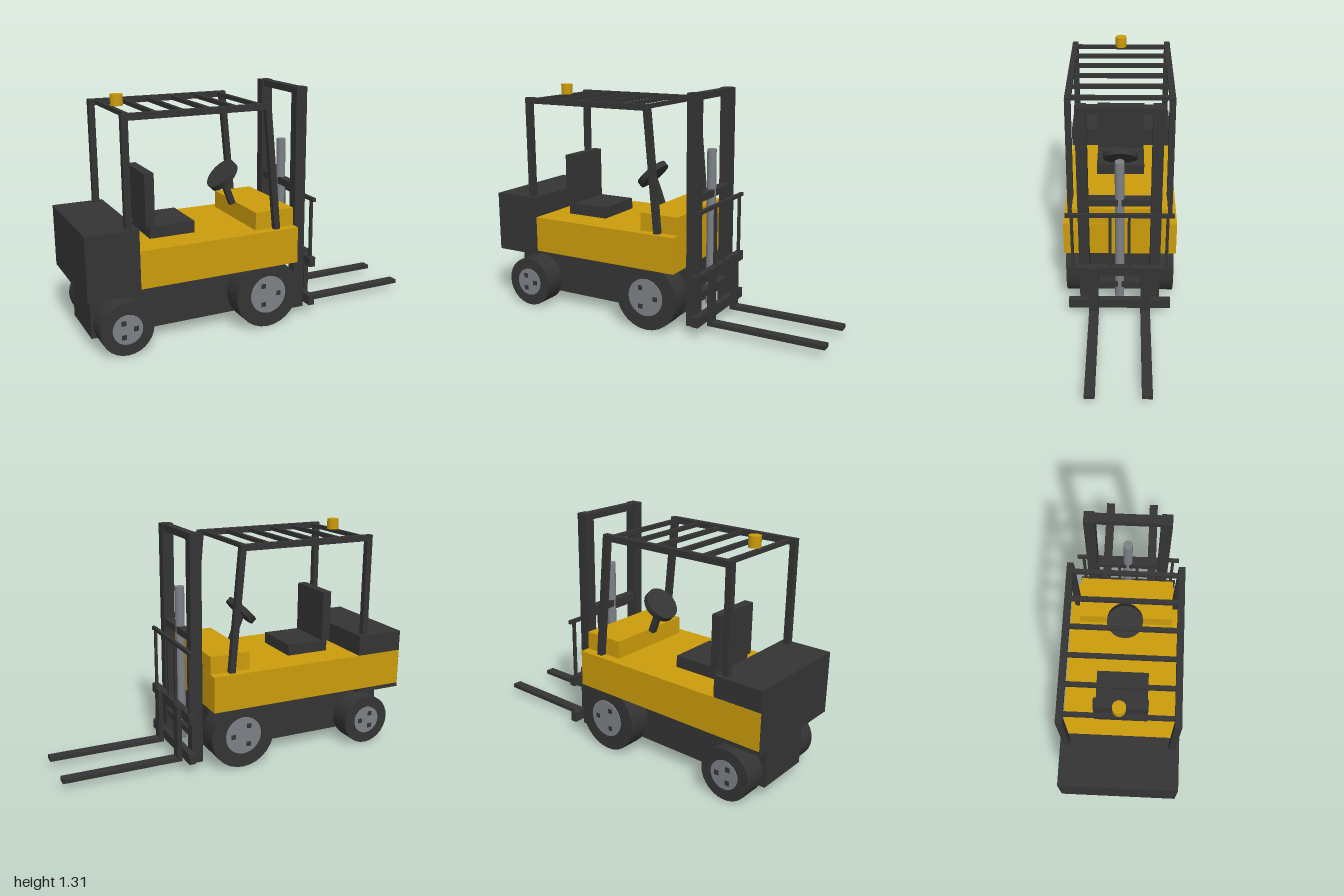
import * as THREE from 'three';

const mat = (name, color) => {
  const m = new THREE.MeshStandardMaterial({ color });
  m.name = name;
  return m;
};

export function createModel() {
  const yellow = mat('yellow paint', 0xcc9c0c);
  const dark = mat('dark grey', 0x343434);
  const steel = mat('steel', 0x7c8085);

  const root = new THREE.Group();
  root.name = 'forklift';
  const group = (name) => {
    const g = new THREE.Group();
    g.name = name;
    root.add(g);
    return g;
  };
  const add = (parent, name, geometry, material) => {
    const m = new THREE.Mesh(geometry, material);
    m.name = name;
    parent.add(m);
    return m;
  };
  // Box given by its limits along each axis
  const box = (parent, name, material, x0, x1, y0, y1, z0, z1) => {
    const m = add(parent, name, new THREE.BoxGeometry(x1 - x0, y1 - y0, z1 - z0), material);
    m.position.set((x0 + x1) / 2, (y0 + y1) / 2, (z0 + z1) / 2);
    return m;
  };
  // Square bar between two points in the xy plane
  const bar = (parent, name, x0, y0, x1, y1, z, w) => {
    const m = add(parent, name, new THREE.BoxGeometry(w, Math.hypot(x1 - x0, y1 - y0), w), dark);
    m.position.set((x0 + x1) / 2, (y0 + y1) / 2, z);
    m.rotation.z = Math.atan2(y1 - y0, x1 - x0) - Math.PI / 2;
    return m;
  };

  // Chassis, body and counterweight
  const body = group('body');
  box(body, 'chassis', dark, -0.95, 0.16, 0.065, 0.352, -0.17, 0.17);
  box(body, 'bodyShell', yellow, -0.998, 0.195, 0.352, 0.555, -0.32, 0.318);
  box(body, 'cowl', yellow, -0.04, 0.193, 0.55, 0.655, -0.265, 0.265);
  box(body, 'counterweight', dark, -1, -0.72, 0.328, 0.672, -0.318, 0.32);

  // Wheels with rims and three lugs each
  const wheel = (name, x, r, rimR, lugR, side) => {
    const g = group(name);
    g.position.set(x, r, 0);
    const disc = (part, radius, z0, z1, material) => {
      const m = add(g, part, new THREE.CylinderGeometry(radius, radius, z1 - z0, 28), material);
      m.rotation.x = Math.PI / 2;
      m.position.z = side * (z0 + z1) / 2;
    };
    disc('tyre', r, 0.18, 0.31, dark);
    disc('rim', rimR, 0.3, 0.315, steel);
    for (let i = 0; i < 3; i++) {
      const a = i * Math.PI * 2 / 3;
      const lug = add(g, 'lug', new THREE.BoxGeometry(0.026, 0.026, 0.01), dark);
      lug.position.set(lugR * Math.cos(a), lugR * Math.sin(a), side * 0.313);
    }
  };
  for (const side of [-1, 1]) {
    const label = side > 0 ? 'Near' : 'Far';
    wheel('driveWheel' + label, 0.016, 0.19, 0.107, 0.062, side);
    wheel('steerWheel' + label, -0.797, 0.144, 0.081, 0.044, side);
  }

  // Seat
  const seat = group('seat');
  box(seat, 'seatCushion', dark, -0.605, -0.35, 0.555, 0.62, -0.145, 0.145);
  box(seat, 'seatBack', dark, -0.625, -0.573, 0.62, 0.907, -0.145, 0.145);

  // Steering column and wheel
  const steering = group('steering');
  bar(steering, 'steeringColumn', -0.055, 0.645, -0.118, 0.81, 0, 0.033);
  const handwheel = add(steering, 'steeringWheel', new THREE.CylinderGeometry(0.098, 0.098, 0.034, 28), dark);
  handwheel.position.set(-0.115, 0.816, 0);
  handwheel.rotation.z = Math.PI / 4;

  // Overhead guard
  const guard = group('overheadGuard');
  for (const side of [-1, 1]) {
    const z = side * 0.281;
    box(guard, 'rearPost', dark, -0.784, -0.75, 0.66, 1.248, z - 0.017, z + 0.017);
    box(guard, 'roofRail', dark, -0.784, 0.032, 1.215, 1.248, z - 0.0165, z + 0.0165);
    bar(guard, 'frontPost', 0.077, 0.555, 0.016, 1.235, z, 0.034);
  }
  for (let i = 0; i < 6; i++) {
    const x = -0.737 + i * 0.1455;
    box(guard, 'roofBar', dark, x - 0.011, x + 0.011, 1.22, 1.243, -0.28, 0.28);
  }
  const beacon = add(guard, 'beacon', new THREE.CylinderGeometry(0.033, 0.033, 0.06, 24), yellow);
  beacon.position.set(-0.71, 1.277, 0);

  // Mast and lift cylinder
  const mast = group('mast');
  for (const side of [-1, 1]) {
    const z = side * 0.198;
    box(mast, 'mastUpright', dark, 0.225, 0.29, 0.037, 1.313, z - 0.029, z + 0.029);
  }
  for (const [y0, y1] of [[0.18, 0.217], [0.73, 0.77], [1.275, 1.311]]) {
    box(mast, 'mastCrossbar', dark, 0.235, 0.284, y0, y1, -0.18, 0.18);
  }
  const lift = add(mast, 'liftCylinder', new THREE.CylinderGeometry(0.026, 0.026, 0.89, 24), steel);
  lift.position.set(0.26, 0.548, 0);

  // Carriage, load backrest and forks
  const carriage = group('carriage');
  box(carriage, 'lowerCarriageBar', dark, 0.294, 0.33, 0.063, 0.119, -0.29, 0.29);
  box(carriage, 'upperCarriageBar', dark, 0.294, 0.33, 0.296, 0.35, -0.29, 0.29);
  box(carriage, 'backrestRail', dark, 0.303, 0.322, 0.68, 0.7, -0.295, 0.295);
  for (const z of [-0.26, -0.052, 0.052, 0.26]) {
    box(carriage, 'backrestBar', dark, 0.305, 0.32, 0.34, 0.69, z - 0.008, z + 0.008);
  }
  for (const side of [-1, 1]) {
    const z = side * 0.147;
    box(carriage, 'forkShank', dark, 0.328, 0.355, 0.037, 0.363, z - 0.028, z + 0.028);
    box(carriage, 'forkBlade', dark, 0.34, 1, 0.037, 0.061, z - 0.0275, z + 0.0275);
  }

  return root;
}
